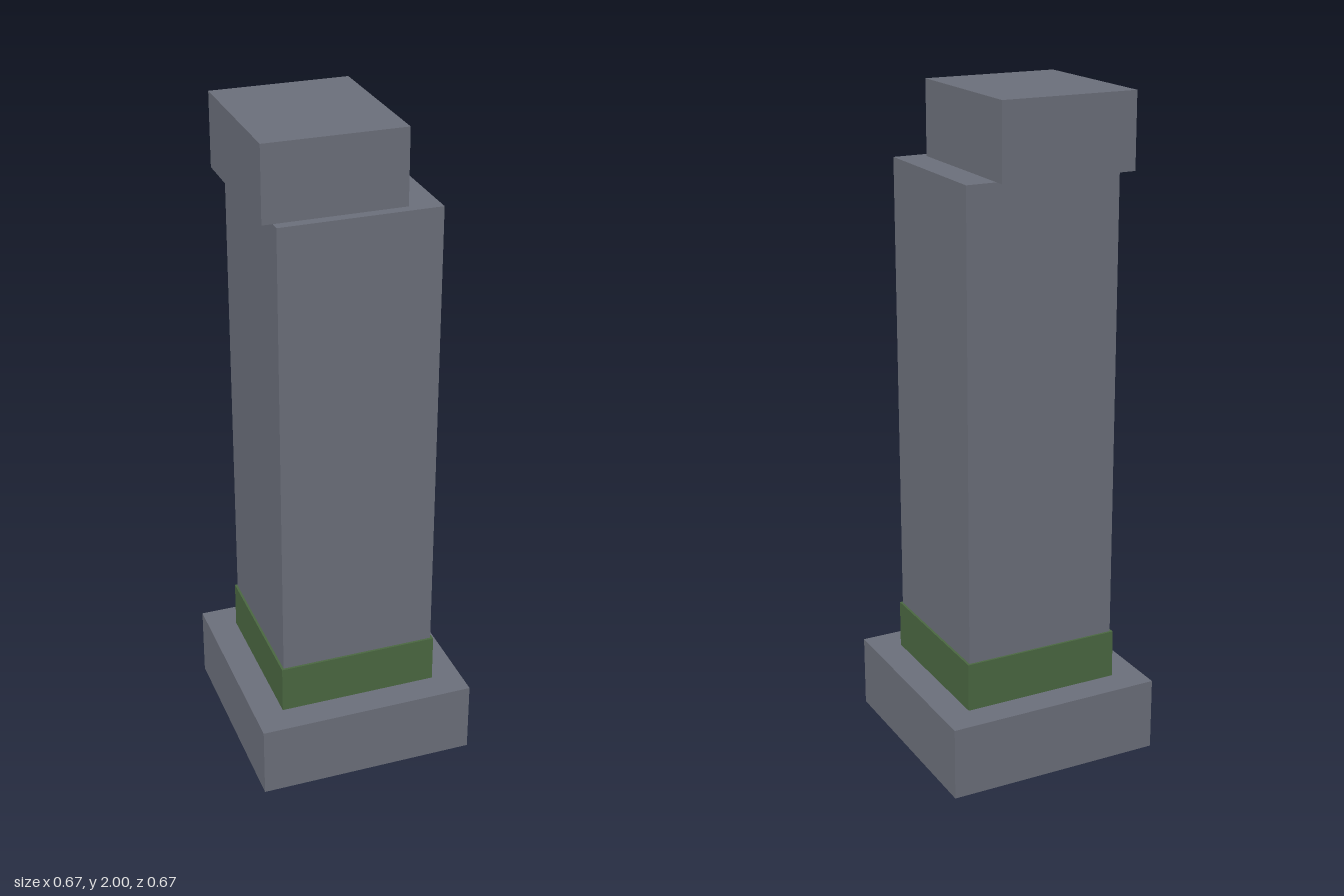
import * as THREE from 'three';

export function createModel() {
  const model = new THREE.Group();
  model.name = 'brokenPillar';
  const stone = new THREE.MeshStandardMaterial({ name: 'grey stone', color: 0x6b6f7a });
  const moss = new THREE.MeshStandardMaterial({ name: 'green moss', color: 0x4a6741 });

  // Box standing on height y0 and reaching y1
  function block(name, material, width, depth, y0, y1, x = 0, z = 0) {
    const mesh = new THREE.Mesh(new THREE.BoxGeometry(width, y1 - y0, depth), material);
    mesh.name = name;
    mesh.position.set(x, (y0 + y1) / 2, z);
    model.add(mesh);
  }

  block('base', stone, 0.666, 0.666, 0, 0.222);
  block('shaft', stone, 0.474, 0.474, 0.222, 1.778);
  block('mossBand', moss, 0.488, 0.488, 0.222, 0.37);

  // Broken top piece, shifted off the shaft's axis
  block('brokenCap', stone, 0.414, 0.475, 1.778, 2, -0.061, -0.031);

  return model;
}
